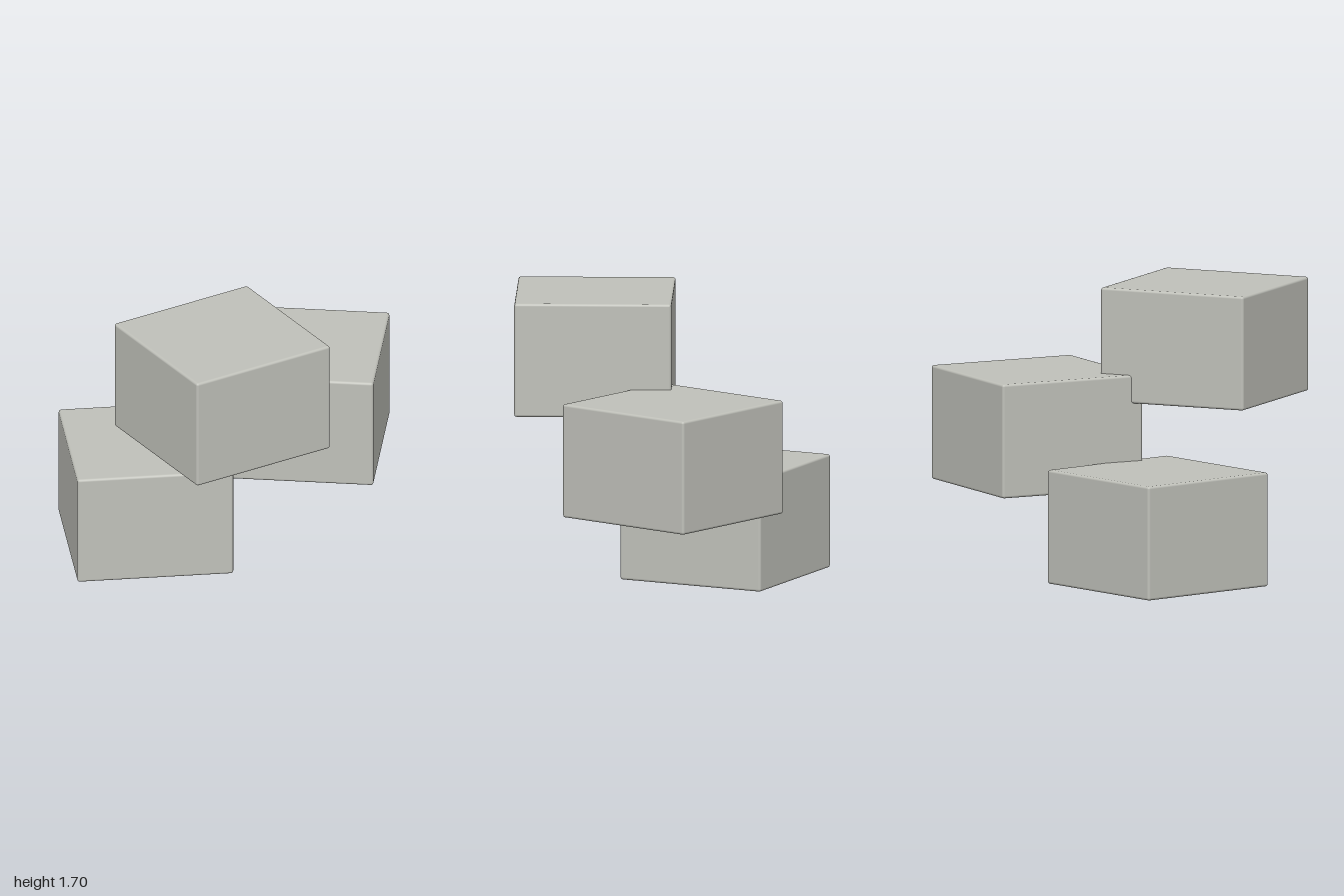
import * as THREE from 'three';
import { RoundedBoxGeometry } from 'three/addons/geometries/RoundedBoxGeometry.js';

export function createModel() {
  const model = new THREE.Group();
  model.name = 'steppingBlocks';

  const stone = new THREE.MeshStandardMaterial({ color: 0xc0c1ba });
  stone.name = 'warm grey';

  // One square block with softly rounded edges, shared by all three steps
  const width = 0.925, height = 0.677, step = 0.51;
  const geometry = new RoundedBoxGeometry(width, height, width, 2, 0.015);

  // Each block: name, centre x, centre z, turn in degrees, from the ground up
  const blocks = [
    ['lowerBlock', -0.479, -0.266, 5],
    ['middleBlock', 0.454, -0.479, -8],
    ['upperBlock', -0.053, 0.372, 30],
  ];
  blocks.forEach(([name, x, z, turn], i) => {
    const block = new THREE.Mesh(geometry, stone);
    block.name = name;
    block.position.set(x, height / 2 + i * step, z);
    block.rotation.y = THREE.MathUtils.degToRad(turn);
    model.add(block);
  });

  return model;
}
